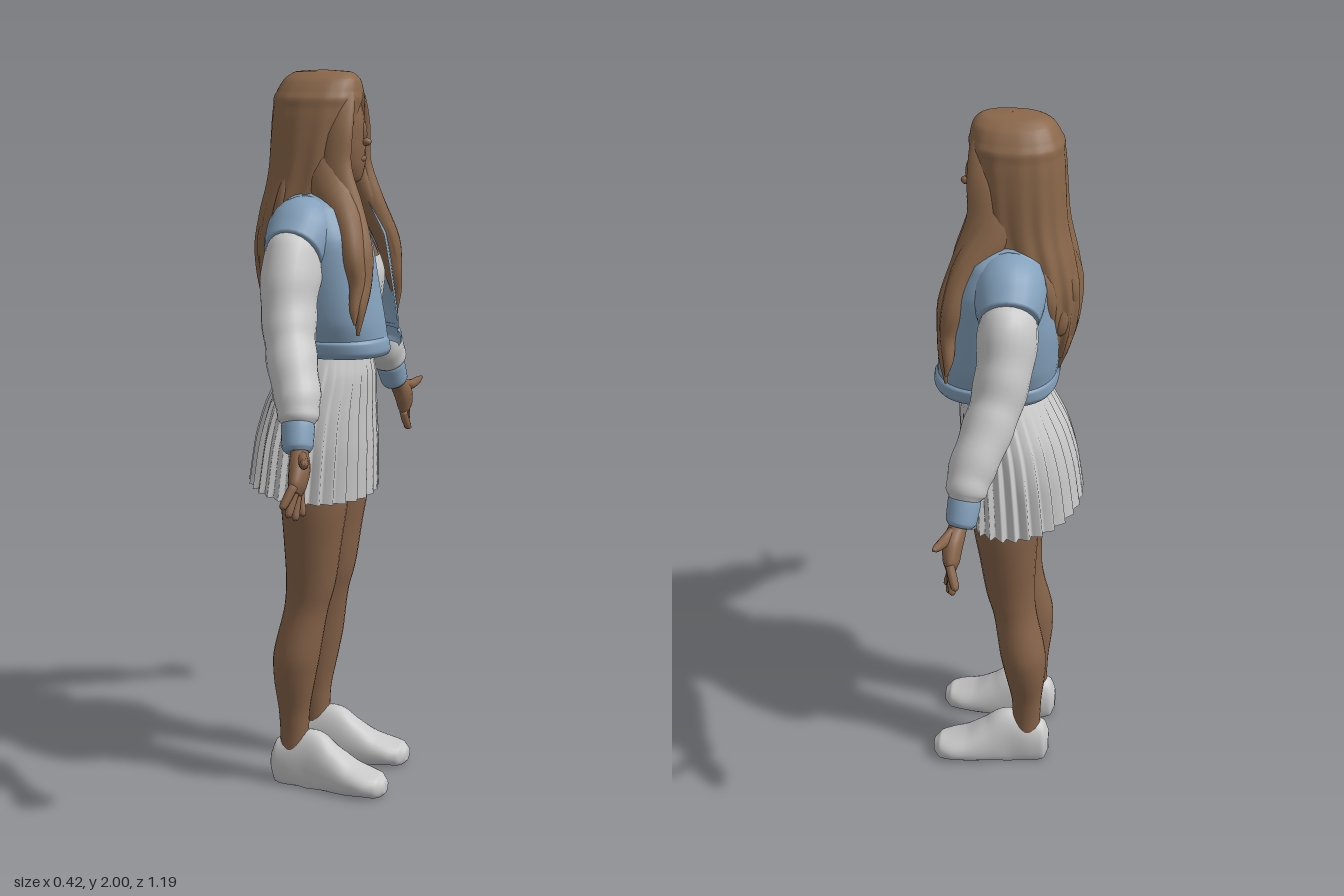
import * as THREE from 'three';

const mat = (name, color) => {
  const m = new THREE.MeshStandardMaterial({ color, side: THREE.DoubleSide });
  m.name = name;
  return m;
};

// Skins a smooth surface over elliptical sections [x, y, z, radiusU, radiusV, frontGap].
// level keeps sections horizontal; open leaves the front open by the gap's half angle.
function loft(sections, { n = 24, steps = 5, p = 2, ref = [0, 0, 1], level = false, open = false, caps = !open, warp = {} } = {}) {
  const path = new THREE.CatmullRomCurve3(sections.map(s => new THREE.Vector3(s[0], s[1], s[2])));
  const size = new THREE.CatmullRomCurve3(sections.map(s => new THREE.Vector3(s[3], s[4], s[5] || 0)));
  const rows = (sections.length - 1) * steps, cols = open ? n + 1 : n;
  const pos = [], idx = [];
  const bend = (c) => Math.sign(c) * Math.abs(c) ** (2 / p);
  for (let i = 0; i <= rows; i++) {
    const t = i / rows, c = path.getPoint(t), r = size.getPoint(t);
    const T = level ? new THREE.Vector3(0, -1, 0) : path.getTangent(t);
    const V = new THREE.Vector3(...ref).addScaledVector(T, -T.dot(new THREE.Vector3(...ref))).normalize();
    const U = new THREE.Vector3().crossVectors(V, T);
    const g = open ? Math.max(0, r.z) : 0;
    for (let j = 0; j < cols; j++) {
      const a = g + (j / n) * (2 * Math.PI - 2 * g);
      const k = warp.scale ? warp.scale(a, t, j) : 1;
      const v = c.clone().addScaledVector(U, bend(Math.sin(a)) * r.x * k).addScaledVector(V, bend(Math.cos(a)) * r.y * k);
      if (warp.move) warp.move(v, t);
      pos.push(v.x, v.y, v.z);
    }
  }
  for (let i = 0; i < rows; i++) {
    for (let j = 0; j < n; j++) {
      const q = open ? j + 1 : (j + 1) % n;
      const a = i * cols + j, b = i * cols + q;
      idx.push(a, a + cols, b, b, a + cols, b + cols);
    }
  }
  if (caps) {
    [0, rows].forEach((row) => {
      const center = pos.length / 3, mid = [0, 0, 0];
      for (let j = 0; j < n; j++) for (let k = 0; k < 3; k++) mid[k] += pos[(row * cols + j) * 3 + k] / n;
      pos.push(...mid);
      for (let j = 0; j < n; j++) {
        const a = row * cols + j, b = row * cols + (j + 1) % n;
        if (row === 0) idx.push(center, a, b); else idx.push(center, b, a);
      }
    });
  }
  const geo = new THREE.BufferGeometry();
  geo.setAttribute('position', new THREE.Float32BufferAttribute(pos, 3));
  geo.setIndex(idx);
  geo.computeVertexNormals();
  return geo;
}

export function createModel() {
  const skin = mat('skin brown', 0x866349), hair = mat('hair brown', 0x8a674a);
  const white = mat('soft white', 0xc9c9c9), blue = mat('denim blue', 0x84a1bc);

  const root = new THREE.Group();
  root.name = 'standingWoman';
  const figure = new THREE.Group();
  figure.name = 'figure';
  figure.rotation.y = Math.PI / 2; // the figure looks towards +x
  root.add(figure);
  const add = (name, geo, material) => {
    const m = new THREE.Mesh(geo, material);
    m.name = name;
    figure.add(m);
    return m;
  };

  // Head and face
  add('head', loft([[0, 1.96, -.01, .04, .05], [0, 1.93, 0, .068, .078], [0, 1.86, .005, .08, .094], [0, 1.8, .01, .077, .091],
    [0, 1.75, .02, .062, .08], [0, 1.71, .035, .037, .053], [0, 1.695, .035, .015, .028]], { level: true }), skin);
  const bump = (name, x, y, z, a, b, c) => {
    const m = add(name, new THREE.SphereGeometry(1, 16, 10), skin);
    m.position.set(x, y, z);
    m.scale.set(a, b, c);
  };
  bump('noseBridge', 0, 1.832, .096, .009, .034, .011);
  bump('noseTip', 0, 1.812, .104, .013, .011, .015);
  bump('lips', 0, 1.768, .094, .02, .01, .01);
  bump('chin', 0, 1.725, .076, .022, .018, .014);

  // Torso
  add('neckAndTorso', loft([[0, 1.74, 0, .045, .045], [0, 1.66, 0, .047, .047], [0, 1.62, 0, .09, .06], [0, 1.57, .01, .15, .09],
    [0, 1.5, .02, .155, .115], [0, 1.4, .02, .14, .115], [0, 1.3, .015, .122, .104], [0, 1.2, .01, .124, .1]], { level: true }), skin);
  add('cropTop', loft([[0, 1.51, .02, .152, .118], [0, 1.46, .022, .16, .13], [0, 1.4, .022, .152, .125], [0, 1.295, .018, .13, .112]],
    { level: true, caps: false }), white);

  // Pleated skirt, hem slightly higher at the back
  const pleats = 30;
  add('pleatedSkirt', loft([[0, 1.245, .008, .143, .108], [0, 1.19, 0, .166, .126], [0, 1.1, -.02, .198, .145],
    [0, 1, -.032, .222, .158], [0, .865, -.042, .237, .167]], {
    n: pleats * 6, level: true, caps: false,
    warp: {
      scale: (a, t, j) => 1 + .085 * Math.min(1, t * 1.3) * ((j % 6) / 5 - .5),
      move: (v, t) => { v.y -= .11 * t * (v.z + .04); },
    },
  }), white);

  // Open jacket
  add('jacketBody', loft([[0, 1.705, -.01, .075, .062, .95], [0, 1.68, -.012, .13, .085, .65], [0, 1.645, -.01, .19, .105, .25],
    [0, 1.56, 0, .22, .14, .17], [0, 1.45, .004, .217, .156, .17], [0, 1.35, .015, .206, .162, .17], [0, 1.29, .022, .185, .162, .17]],
  { n: 48, p: 2.7, level: true, open: true }), blue);
  add('jacketHem', loft([[0, 1.3, .022, .185, .16, .17], [0, 1.29, .023, .192, .166, .17], [0, 1.265, .024, .188, .168, .17], [0, 1.25, .024, .178, .16, .17]],
    { n: 48, p: 2.8, level: true, open: true }), blue);
  add('collar', loft([[0, 1.715, -.005, .084, .074, .95], [0, 1.69, -.008, .094, .084, .8], [0, 1.65, -.008, .108, .09, .6]],
    { level: true, open: true }), blue);

  for (const s of [1, -1]) {
    const side = s > 0 ? 'left' : 'right';
    const limb = (name, sections, material, options) =>
      add(side + name, loft(sections.map(([x, ...rest]) => [x * s, ...rest]), options), material);

    // Arm: shoulder yoke ending in an upright armhole, sleeve, cuff
    limb('Shoulder', [[.1, 1.6, -.02, .085, .085], [.15, 1.578, -.025, .1, .095], [.19, 1.552, -.028, .092, .09], [.225, 1.53, -.03, .08, .078]], blue);
    limb('Sleeve', [[.185, 1.535, -.03, .07, .06], [.222, 1.505, -.03, .1, .078], [.27, 1.415, -.025, .089, .074], [.315, 1.33, -.008, .078, .068],
      [.365, 1.262, .016, .07, .065], [.41, 1.19, .043, .063, .06], [.437, 1.145, .053, .054, .052], [.447, 1.125, .056, .036, .038]], white,
    { warp: { scale: (a, t) => 1 + .025 * Math.sin(t * 38 + 2 * Math.sin(a)) } });
    limb('Cuff', [[.436, 1.14, .054, .038, .036], [.446, 1.124, .056, .043, .043], [.468, 1.076, .062, .04, .04], [.473, 1.065, .064, .032, .032]], blue);

    // Hand
    limb('Palm', [[.455, 1.095, .062, .022, .022], [.478, 1.062, .07, .024, .024], [.505, 1.03, .079, .036, .027],
      [.528, .993, .08, .039, .022], [.54, .972, .08, .03, .012]], skin, { n: 16 });
    limb('Thumb', [[.49, 1.06, .08, .015, .014], [.53, 1.052, .098, .015, .013], [.565, 1.058, .109, .012, .01], [.587, 1.064, .115, .005, .005]], skin, { n: 10 });
    [[.556, .998, .591, .945, .06], [.541, .985, .578, .922, .07], [.524, .974, .552, .908, .08], [.506, .972, .524, .914, .09]].forEach(([x0, y0, x1, y1, z1], i) =>
      limb('Finger' + (i + 1), [[x0, y0, .08, .013, .012], [(x0 + x1) / 2, (y0 + y1) / 2, z1 / 2 + .04, .012, .012],
        [x0 + (x1 - x0) * .9, y0 + (y1 - y0) * .9, z1 + .002, .01, .01], [x1, y1, z1, .003, .003]], skin, { n: 10, steps: 3 }));

    // Leg and shoe
    limb('Leg', [[.1, 1.02, -.02, .092, .1], [.104, .85, -.01, .094, .094], [.101, .72, -.015, .083, .08], [.098, .6, -.022, .069, .069],
      [.1, .52, -.036, .063, .062], [.112, .4, -.058, .068, .066], [.111, .32, -.066, .06, .059], [.104, .22, -.07, .043, .044],
      [.102, .16, -.07, .039, .041], [.102, .09, -.07, .038, .04]], skin, { level: true });
    limb('Shoe', [[.1, .06, -.137, .02, .03], [.1, .06, -.122, .04, .068], [.1, .06, -.08, .047, .086], [.101, .06, -.02, .049, .106],
      [.107, .05, .04, .055, .078], [.114, .04, .1, .062, .05], [.119, .035, .15, .063, .037], [.12, .03, .185, .05, .034], [.12, .03, .206, .022, .018]],
    white, { ref: [0, 1, 0], p: 2.2, warp: { move: (v) => { v.y = Math.max(v.y, .004); } } });

    // Long locks falling over the front of the shoulder
    limb('FaceLock', [[.012, 1.972, .045, .012, .018], [.045, 1.935, .056, .02, .03], [.083, 1.85, .052, .02, .04], [.095, 1.75, .05, .026, .042],
      [.106, 1.64, .09, .032, .038], [.138, 1.53, .13, .034, .034], [.155, 1.45, .14, .03, .025], [.18, 1.39, .142, .02, .016],
      [.19, 1.32, .138, .004, .004]], hair, { n: 12 });
    limb('ShoulderLock', [[.075, 1.84, 0, .01, .02], [.1, 1.72, .025, .032, .055], [.138, 1.61, .09, .034, .04], [.172, 1.52, .12, .03, .03],
      [.176, 1.45, .132, .024, .022], [.198, 1.39, .13, .014, .014], [.208, 1.35, .135, .003, .003]], hair, { n: 12 });
    limb('InnerLock', [[.08, 1.76, .05, .02, .025], [.09, 1.66, .085, .022, .022], [.118, 1.57, .132, .02, .018],
      [.13, 1.5, .148, .014, .014], [.145, 1.43, .15, .004, .004]], hair, { n: 10 });
  }

  // Hair crown and length down the back
  add('hairMain', loft([[0, 2, -.015, .001, .001, 0], [0, 1.995, -.015, .042, .075, 0], [0, 1.975, -.018, .074, .103, 0], [0, 1.94, -.024, .098, .117, 0],
    [0, 1.9, -.028, .11, .121, .16], [0, 1.82, -.034, .12, .121, .6], [0, 1.72, -.045, .126, .118, .8], [0, 1.62, -.07, .135, .115, 1.1],
    [0, 1.52, -.09, .13, .108, 1.5], [0, 1.42, -.1, .105, .088, 1.7], [0, 1.34, -.105, .07, .06, 1.9]],
  { n: 96, p: 2.3, level: true, open: true, warp: { scale: (a, t) => 1 + .05 * t * t * Math.sin(15 * a + 4 * t) } }), hair);
  for (let i = 0; i < 7; i++) {
    const x = (i - 3) * .033, end = 1.3 + .03 * ((i * 3) % 4), w = i % 2 ? .012 : -.012, z = 6 * x * x;
    add('backLock' + (i + 1), loft([[x * .8, 1.78, -.125 + z, .014, .014], [x + w, 1.66, -.152 + z, .026, .02], [x * 1.1 - w, 1.55, -.18 + z, .028, .022],
      [x * 1.1 + w, 1.45, -.176 + z, .024, .02], [x - w, (1.45 + end) / 2, -.165 + z, .016, .015], [x, end, -.15 + z, .003, .003]], { n: 10 }), hair);
  }
  return root;
}
